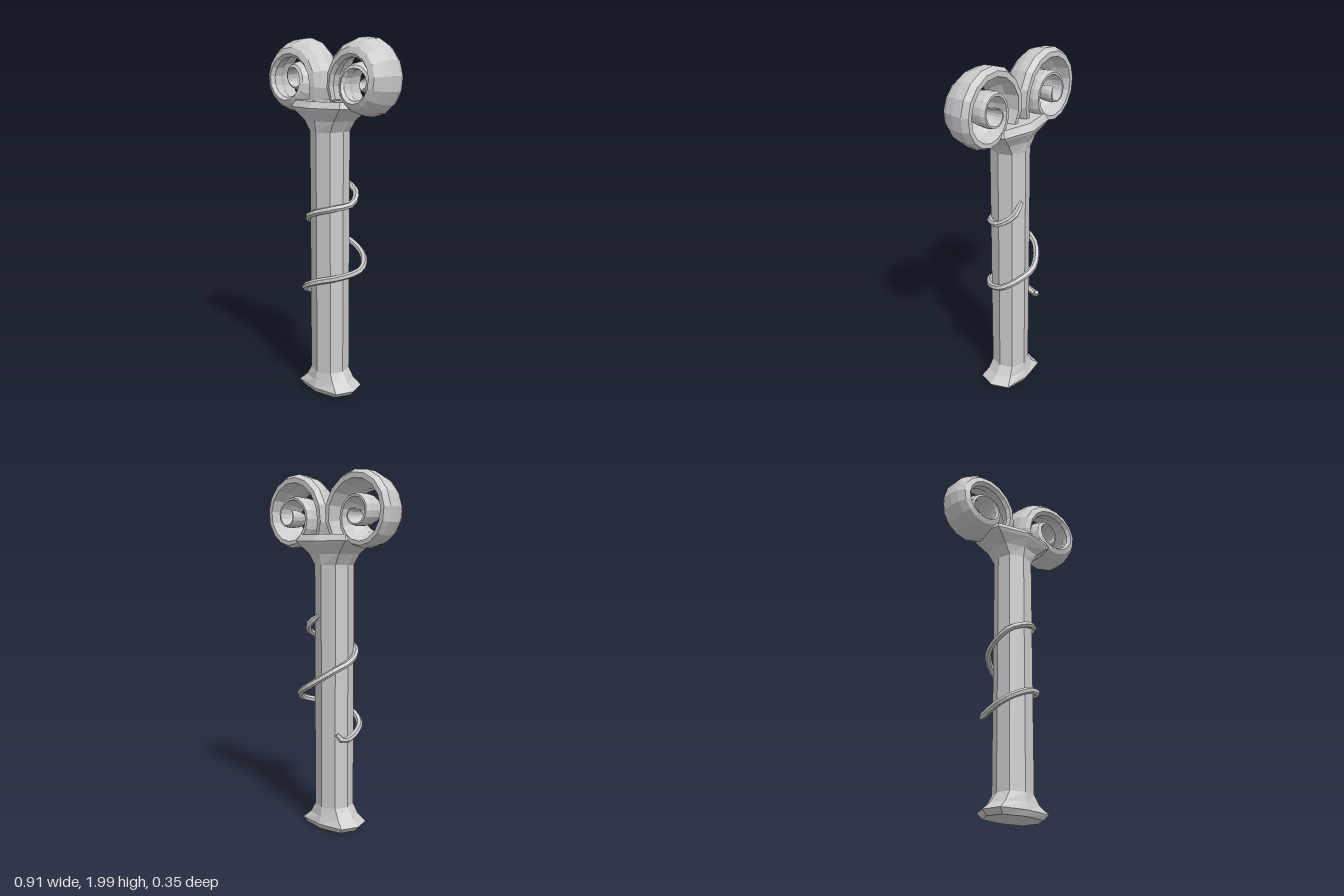
import * as THREE from 'three';

const material = new THREE.MeshStandardMaterial({ color: 0xcccccc, flatShading: true, side: THREE.DoubleSide });

// Skins a list of closed rings (arrays of Vector3) with flat facets and capped ends.
function loft(name, rings) {
  const n = rings[0].length;
  const tris = [];
  for (let i = 0; i < rings.length - 1; i++) {
    for (let j = 0; j < n; j++) {
      const k = (j + 1) % n;
      const a = rings[i][j], b = rings[i][k], c = rings[i + 1][k], d = rings[i + 1][j];
      tris.push([a, b, c], [a, c, d]);
    }
  }
  const centre = (ring) => ring.reduce((s, p) => s.add(p), new THREE.Vector3()).divideScalar(n);
  const first = rings[0], last = rings[rings.length - 1];
  const c0 = centre(first), c1 = centre(last);
  for (let j = 0; j < n; j++) {
    const k = (j + 1) % n;
    tris.push([c0, first[k], first[j]], [c1, last[j], last[k]]);
  }
  // A negative enclosed volume means the faces point inwards
  let volume = 0;
  for (const [a, b, c] of tris) volume += a.dot(new THREE.Vector3().crossVectors(b, c));
  const pos = [];
  for (const [a, b, c] of tris) {
    for (const p of volume < 0 ? [a, c, b] : [a, b, c]) pos.push(p.x, p.y, p.z);
  }
  const geo = new THREE.BufferGeometry();
  geo.setAttribute('position', new THREE.Float32BufferAttribute(pos, 3));
  geo.computeVertexNormals();
  const mesh = new THREE.Mesh(geo, material);
  mesh.name = name;
  return mesh;
}

// Eight-sided section: front/back point, four corners, two side points
function octagon(y, side, cornerX, cornerZ, front) {
  const z0 = 0.018;
  return [
    [0, front], [cornerX, cornerZ], [side, 0], [cornerX, -cornerZ],
    [0, -front], [-cornerX, -cornerZ], [-side, 0], [-cornerX, cornerZ],
  ].map(([x, z]) => new THREE.Vector3(x, y, z0 + z));
}

function createColumn() {
  return loft('column', [
    octagon(0.005, 0.165, 0.13, 0.085, 0.11),
    octagon(0.035, 0.192, 0.155, 0.1, 0.125),
    octagon(0.075, 0.145, 0.11, 0.082, 0.112),
    octagon(0.13, 0.105, 0.08, 0.074, 0.103),
    octagon(1.5, 0.105, 0.08, 0.074, 0.103),
    octagon(1.56, 0.14, 0.115, 0.083, 0.115),
    octagon(1.615, 0.2, 0.175, 0.108, 0.15),
    octagon(1.63, 0.225, 0.19, 0.112, 0.156),
    octagon(1.665, 0.2, 0.175, 0.095, 0.13),
  ]);
}

// Horn keys: angle, outer radius, inner radius, front z, back z
const hornKeys = [
  [212, 0.25, 0.175, 0.09, -0.06],
  [180, 0.25, 0.155, 0.1, -0.075],
  [135, 0.24, 0.135, 0.1, -0.075],
  [90, 0.23, 0.125, 0.105, -0.075],
  [0, 0.205, 0.115, 0.12, -0.075],
  [-90, 0.18, 0.095, 0.115, -0.075],
  [-180, 0.132, 0.078, 0.095, -0.07],
  [-270, 0.108, 0.062, 0.075, -0.075],
  [-360, 0.088, 0.048, 0.055, -0.09],
  [-450, 0.065, 0.034, 0.035, -0.1],
  [-540, 0.05, 0.025, 0.01, -0.1],
  [-600, 0.036, 0.024, -0.03, -0.09],
];

function hornAt(angle) {
  let i = 0;
  while (i < hornKeys.length - 2 && angle < hornKeys[i + 1][0]) i++;
  const a = hornKeys[i], b = hornKeys[i + 1];
  const t = (angle - a[0]) / (b[0] - a[0]);
  return a.map((v, k) => THREE.MathUtils.lerp(v, b[k], t));
}

// Section as fractions: radial (0 inner, 1 outer) and depth (0 back, 1 front);
// the rear is cut away so the curl reads as a dished shell
const hornSection = [
  [0.55, 0], [0.82, 0], [1, 0.17], [0.96, 0.48], [0.8, 0.74],
  [0.5, 0.94], [0.18, 1], [0, 0.9], [0.05, 0.66], [0.4, 0.4],
];

// Tapering curl that rises from the capital, rolls outwards and coils in
function createHorn(name, sign) {
  const rings = [];
  const steps = 36;
  for (let i = 0; i <= steps; i++) {
    const angle = THREE.MathUtils.lerp(212, -600, i / steps);
    const [, outer, inner, front, back] = hornAt(angle);
    const rad = THREE.MathUtils.degToRad(angle);
    rings.push(hornSection.map(([u, v]) => {
      const r = THREE.MathUtils.lerp(inner, outer, u);
      const x = Math.max(0.25 + r * Math.cos(rad), 0);
      const y = 1.77 + r * Math.sin(rad);
      return new THREE.Vector3(sign * x, y, THREE.MathUtils.lerp(back, front, v));
    }));
  }
  return loft(name, rings);
}

// Thin tendril winding loosely down the shaft
function createVine() {
  const curve = new THREE.CatmullRomCurve3([
    [0.03, 1.22, -0.08], [0.1, 1.165, -0.085], [0.143, 1.11, -0.01], [0.1, 1.09, 0.08],
    [0, 1.06, 0.13], [-0.09, 1.02, 0.1], [-0.12, 0.97, 0.02], [-0.09, 0.92, -0.09],
    [0.02, 0.84, -0.16], [0.12, 0.79, -0.13], [0.178, 0.74, -0.05], [0.145, 0.71, 0.05],
    [0, 0.665, 0.145], [-0.11, 0.61, 0.11], [-0.155, 0.555, 0], [-0.145, 0.54, -0.06],
    [-0.12, 0.575, -0.085],
  ].map((p) => new THREE.Vector3(...p)));
  const steps = 44, sides = 6;
  const frames = curve.computeFrenetFrames(steps);
  const rings = [];
  for (let i = 0; i <= steps; i++) {
    const centre = curve.getPointAt(i / steps);
    const radius = i === 0 || i === steps ? 0.012 : 0.018;
    rings.push(Array.from({ length: sides }, (_, j) => {
      const a = (j / sides) * Math.PI * 2;
      return centre.clone()
        .addScaledVector(frames.normals[i], radius * Math.cos(a))
        .addScaledVector(frames.binormals[i], radius * Math.sin(a));
    }));
  }
  return loft('vine', rings);
}

export function createModel() {
  const model = new THREE.Group();
  model.name = 'hornedColumn';
  model.add(createColumn(), createHorn('leftHorn', 1), createHorn('rightHorn', -1), createVine());
  return model;
}
